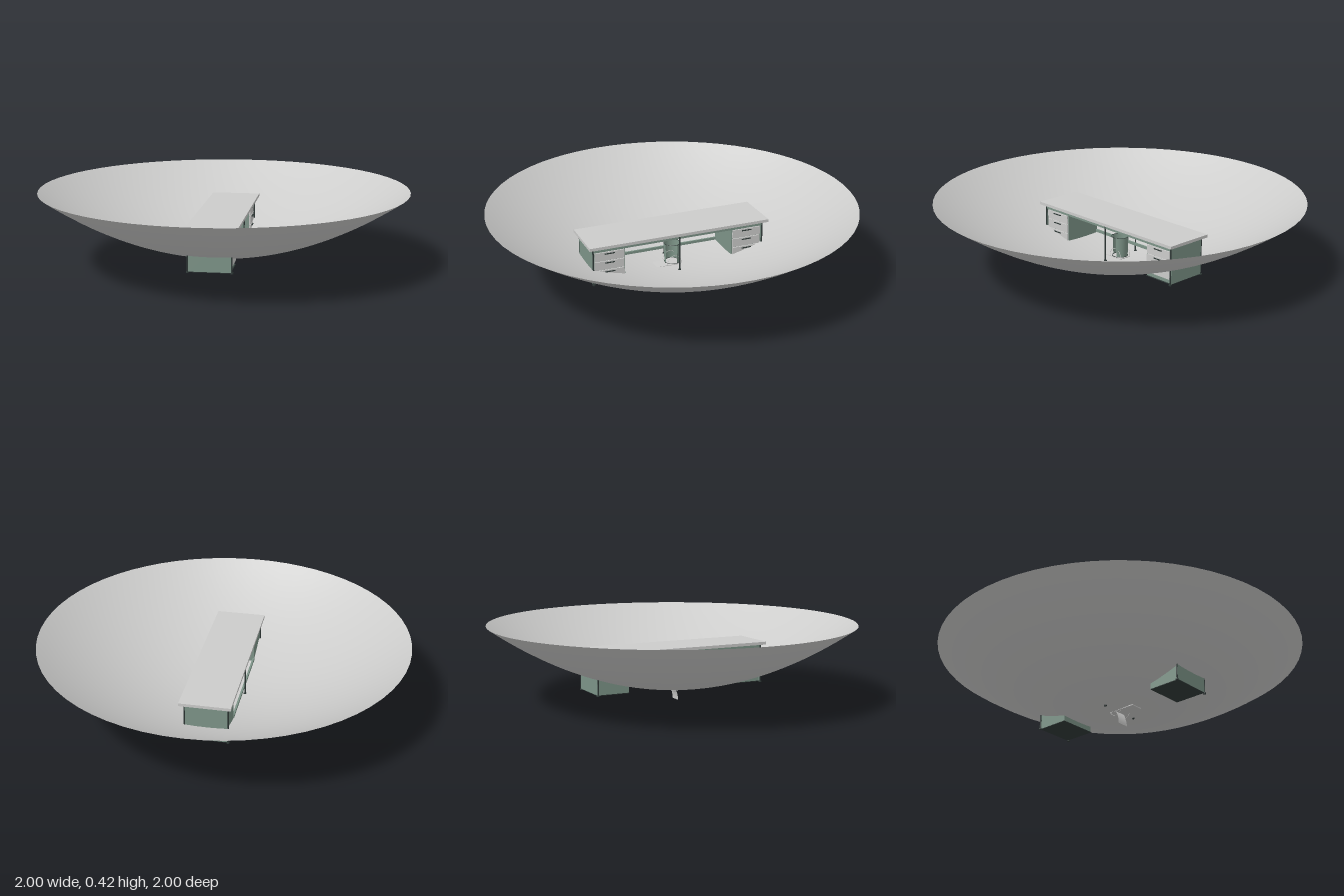
import * as THREE from 'three';

const mat = (name, color, side = THREE.FrontSide) => {
  const m = new THREE.MeshStandardMaterial({ color, side });
  m.name = name;
  return m;
};

export function createModel() {
  const model = new THREE.Group();
  model.name = 'deskInDish';
  const pale = mat('paleGrey', 0xcccccb);
  const paleSheet = mat('paleGreySheet', 0xcccccb, THREE.DoubleSide);
  const green = mat('greyGreen', 0x7d9488);
  const greenSheet = mat('greyGreenSheet', 0x7d9488, THREE.DoubleSide);
  const dark = mat('darkMetal', 0x313b39);

  const add = (name, geo, material, x = 0, y = 0, z = 0, parent = model) => {
    const mesh = new THREE.Mesh(geo, material);
    mesh.name = name;
    mesh.position.set(x, y, z);
    parent.add(mesh);
    return mesh;
  };
  // box given by its min and max corners
  const box = (name, material, x0, x1, y0, y1, z0, z1, parent = model) =>
    add(name, new THREE.BoxGeometry(x1 - x0, y1 - y0, z1 - z0), material,
      (x0 + x1) / 2, (y0 + y1) / 2, (z0 + z1) / 2, parent);

  // shallow parabolic dish
  const profile = [];
  for (let i = 0; i <= 24; i++) {
    const r = i / 24;
    profile.push(new THREE.Vector2(r, 0.075 + 0.349 * r * r));
  }
  add('dish', new THREE.LatheGeometry(profile, 64), paleSheet);

  // desk
  const desk = new THREE.Group();
  desk.name = 'desk';
  model.add(desk);
  box('desktop', pale, -0.137, 0.135, 0.286, 0.302, -0.517, 0.515, desk);
  for (const x of [-0.115, 0.1]) {
    box('apron', green, x, x + 0.01, 0.262, 0.286, -0.49, 0.49, desk);
  }
  box('backStretcher', green, -0.115, -0.105, 0.115, 0.13, -0.31, 0.31, desk);

  // legs with small feet
  for (const x of [-0.118, 0.11]) {
    for (const z of [-0.49, 0, 0.49]) {
      add('leg', new THREE.CylinderGeometry(0.004, 0.004, 0.206, 12), dark, x, 0.183, z, desk);
      add('foot', new THREE.CylinderGeometry(0.008, 0.008, 0.007, 12), dark, x, 0.079, z, desk);
    }
  }

  // pedestals, mirrored at both ends
  for (const s of [-1, 1]) {
    const pedestal = new THREE.Group();
    pedestal.name = s > 0 ? 'frontPedestal' : 'rearPedestal';
    desk.add(pedestal);
    const span = (a, b) => (s > 0 ? [a, b] : [-b, -a]);
    box('cabinet', green, -0.112, 0.1, 0.082, 0.262, ...span(0.31, 0.485), pedestal);
    box('endPanel', green, -0.114, 0.106, 0.082, 0.286, ...span(0.485, 0.493), pedestal);
    box('basePlate', dark, -0.113, 0.105, 0.079, 0.082, ...span(0.31, 0.492), pedestal);
    for (let i = 0; i < 3; i++) {
      const y = 0.104 + i * 0.052;
      box('drawerFront', pale, 0.1, 0.107, y, y + 0.048, ...span(0.315, 0.48), pedestal);
      box('drawerHandle', dark, 0.107, 0.113, y + 0.037, y + 0.041, ...span(0.37, 0.425), pedestal);
    }
  }

  // small chair in the middle of the dish
  const chair = new THREE.Group();
  chair.name = 'chair';
  model.add(chair);
  box('seat', pale, -0.036, 0.036, 0.074, 0.079, -0.04, 0.12, chair);

  // curved sheet hanging below the seat
  const sheet = new THREE.PlaneGeometry(0.07, 0.08, 6, 8);
  const p = sheet.attributes.position;
  for (let i = 0; i < p.count; i++) {
    const t = (p.getY(i) + 0.04) / 0.08;
    p.setX(i, p.getX(i) * (0.9 + 0.1 * Math.abs(2 * t - 1)));
    p.setZ(i, 0.02 - 0.025 * t * t);
  }
  sheet.computeVertexNormals();
  add('lowerBack', sheet, paleSheet, 0, 0.04, 0, chair);

  // round upper shell and its rims
  add('shell', new THREE.CylinderGeometry(0.046, 0.042, 0.11, 24, 1, true, Math.PI * 0.6, Math.PI * 1.5),
    greenSheet, 0, 0.14, 0, chair);
  for (const [y, r] of [[0.085, 0.042], [0.195, 0.046]]) {
    add('shellRim', new THREE.TorusGeometry(r, 0.0015, 8, 32), dark, 0, y, 0, chair)
      .rotation.x = Math.PI / 2;
  }
  // side hoops
  for (const x of [-0.035, 0.035]) {
    add('sideHoop', new THREE.TorusGeometry(0.04, 0.0012, 8, 32), pale, x, 0.09, 0, chair)
      .rotation.y = Math.PI / 2;
  }
  return model;
}
